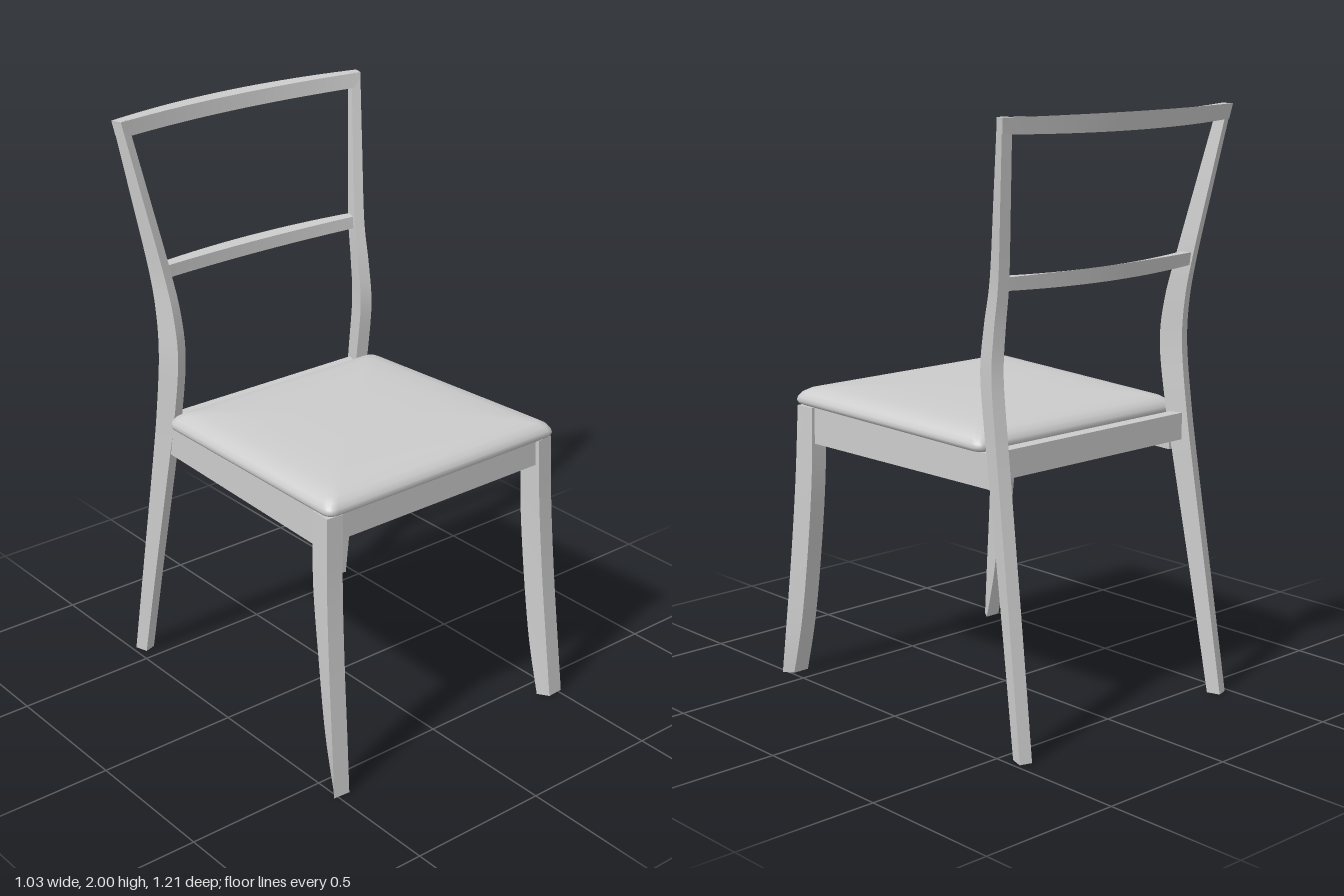
import * as THREE from 'three';
import { toCreasedNormals } from 'three/addons/utils/BufferGeometryUtils.js';

const material = new THREE.MeshStandardMaterial({ color: 0xcccccc });
material.name = 'light grey';

// Skin a list of equal-sized [x, y, z] rings, cap both ends, and face it outwards.
function loft(rings, crease = 0.6) {
  const n = rings[0].length;
  const pts = rings.flat().map((p) => new THREE.Vector3(...p));
  const tris = [];
  for (let r = 0; r < rings.length - 1; r++) {
    for (let i = 0; i < n; i++) {
      const a = r * n + i, b = r * n + (i + 1) % n;
      tris.push([a, b, b + n], [a, b + n, a + n]);
    }
  }
  for (const [start, flip] of [[0, true], [(rings.length - 1) * n, false]]) {
    const c = new THREE.Vector3();
    for (let i = 0; i < n; i++) c.addScaledVector(pts[start + i], 1 / n);
    const k = pts.push(c) - 1;
    for (let i = 0; i < n; i++) {
      const a = start + i, b = start + (i + 1) % n;
      tris.push(flip ? [k, b, a] : [k, a, b]);
    }
  }
  let volume = 0;
  for (const [a, b, c] of tris) volume += pts[a].dot(pts[b].clone().cross(pts[c]));
  const index = tris.flatMap(([a, b, c]) => (volume < 0 ? [a, c, b] : [a, b, c]));
  const g = new THREE.BufferGeometry().setFromPoints(pts);
  g.setIndex(index);
  return toCreasedNormals(g, crease);
}

// Smoothly resample rows of numbers.
function smoothRows(rows, steps) {
  const at = (i) => rows[Math.min(Math.max(i, 0), rows.length - 1)];
  const out = [];
  for (let s = 0; s <= steps; s++) {
    const u = (s / steps) * (rows.length - 1);
    const i = Math.min(Math.floor(u), rows.length - 2), t = u - i;
    out.push(rows[0].map((_, k) => {
      const [p, a, b, q] = [at(i - 1)[k], at(i)[k], at(i + 1)[k], at(i + 2)[k]];
      return a + 0.5 * t * (b - p + t * (2 * p - 5 * a + 4 * b - q + t * (3 * (a - b) + q - p)));
    }));
  }
  return out;
}

// Rear leg and back post: y, outer front corner x, z, width, depth
const REAR = [
  [0, 0.47, -0.543, 0.043, 0.048],
  [0.4, 0.452, -0.474, 0.043, 0.058],
  [0.8, 0.434, -0.402, 0.043, 0.07],
  [1.0, 0.426, -0.366, 0.043, 0.078],
  [1.2, 0.422, -0.341, 0.042, 0.082],
  [1.35, 0.422, -0.358, 0.04, 0.074],
  [1.5, 0.431, -0.395, 0.037, 0.062],
  [1.75, 0.465, -0.449, 0.035, 0.049],
  [2.0, 0.5, -0.503, 0.033, 0.036],
];

function rearLeg(side) {
  return loft(smoothRows(REAR, 40).map(([y, x, z, w, d]) => {
    const corner = (a, b) => [side * (x - 0.95 * a + 0.3 * b), y, z - 0.3 * a - 0.95 * b];
    return [corner(0, 0), corner(w, 0), corner(w, d), corner(0, d)];
  }));
}

// Front leg: y, outer x, front z, back z, inward shift of the back face
const FRONT = [
  [0, 0.515, 0.603, 0.565, 0.025],
  [0.2, 0.507, 0.583, 0.518, 0.02],
  [0.45, 0.498, 0.558, 0.482, 0.015],
  [0.72, 0.489, 0.537, 0.453, 0.008],
  [0.972, 0.48, 0.528, 0.448, 0.004],
];

function frontLeg(side) {
  return loft(smoothRows(FRONT, 20).map(([y, x, zf, zb, s]) => [
    [side * x, y, zf - 0.004], [side * (x - 0.06), y, zf],
    [side * (x - 0.06 - s), y, zb], [side * (x - s), y, zb],
  ]));
}

// Rail bowed backwards; half widths and depths of its front and back faces
function bowedRail({ halfFront, halfBack, front, back, bow, y0, y1, lean }) {
  const rings = [];
  for (let i = 0; i <= 24; i++) {
    const t = i / 12 - 1, b = bow * t * t;
    const k = 1 - lean / halfFront;
    rings.push([
      [halfFront * t * k, y0 + 0.008 * t * t, front + b + lean],
      [halfFront * t, y1 - 0.008 * (1 - t * t), front + b],
      [halfBack * t, y1, back + b],
      [halfBack * t * k, y0 + 0.008 * t * t, back + b + lean],
    ]);
  }
  return loft(rings);
}

// Cushion: rounded trapezoid outlines stacked as [inset, height]
function cushion() {
  const layers = [[0.016, 0], [0.004, 0.006], [0, 0.016], [0.003, 0.028], [0.014, 0.043],
    [0.035, 0.056], [0.08, 0.065], [0.16, 0.071], [0.28, 0.074], [0.4, 0.075]];
  const outline = [];
  const r = 0.035, hz = 0.458;
  [[1, 1], [-1, 1], [-1, -1], [1, -1]].forEach(([sx, sz], q) => {
    for (let i = 0; i <= 6; i++) {
      const a = (q + i / 6) * Math.PI / 2;
      const hx = sz > 0 ? 0.486 : 0.456;
      outline.push([sx * (hx - r) + r * Math.cos(a), sz * (hz - r) + r * Math.sin(a)]);
    }
  });
  return loft(layers.map(([inset, h]) => outline.map(([x, z0]) => {
    const z = 0.085 + z0 * (1 - inset / hz);
    return [x * (1 - inset / 0.47), 0.961 + 0.026 * z + h, z];
  })), 0.9);
}

// Straight bar with a rectangular section
function box(name, w, h, d, x, y, z) {
  const mesh = new THREE.Mesh(new THREE.BoxGeometry(w, h, d), material);
  mesh.position.set(x, y, z);
  mesh.name = name;
  return mesh;
}

export function createModel() {
  const chair = new THREE.Group();
  chair.name = 'chair';
  const add = (name, geometry) => {
    const mesh = new THREE.Mesh(geometry, material);
    mesh.name = name;
    chair.add(mesh);
  };

  // Legs and side aprons, mirrored
  for (const [label, s] of [['left', 1], ['right', -1]]) {
    add(`${label}RearLeg`, rearLeg(s));
    add(`${label}FrontLeg`, frontLeg(s));
    const end = (xi, xo, y0, y1, z) =>
      [[s * xi, y0, z], [s * xo, y0, z], [s * xo, y1, z], [s * xi, y1, z]];
    add(`${label}SideApron`, loft([
      end(0.425, 0.468, 0.847, 0.972, 0.47),
      end(0.386, 0.428, 0.837, 0.951, -0.40),
    ]));
  }

  // Front and rear aprons
  chair.add(box('frontApron', 0.86, 0.094, 0.045, 0, 0.925, 0.492));
  chair.add(box('rearApron', 0.82, 0.092, 0.045, 0, 0.922, -0.418));

  // Seat
  add('seatCushion', cushion());

  // Back rails
  add('topRail', bowedRail({
    halfFront: 0.5, halfBack: 0.512, front: -0.565, back: -0.603, bow: 0.063,
    y0: 1.942, y1: 2.0, lean: 0.008,
  }));
  add('middleRail', bowedRail({
    halfFront: 0.412, halfBack: 0.425, front: -0.452, back: -0.491, bow: 0.034,
    y0: 1.462, y1: 1.512, lean: 0.004,
  }));
  return chair;
}
